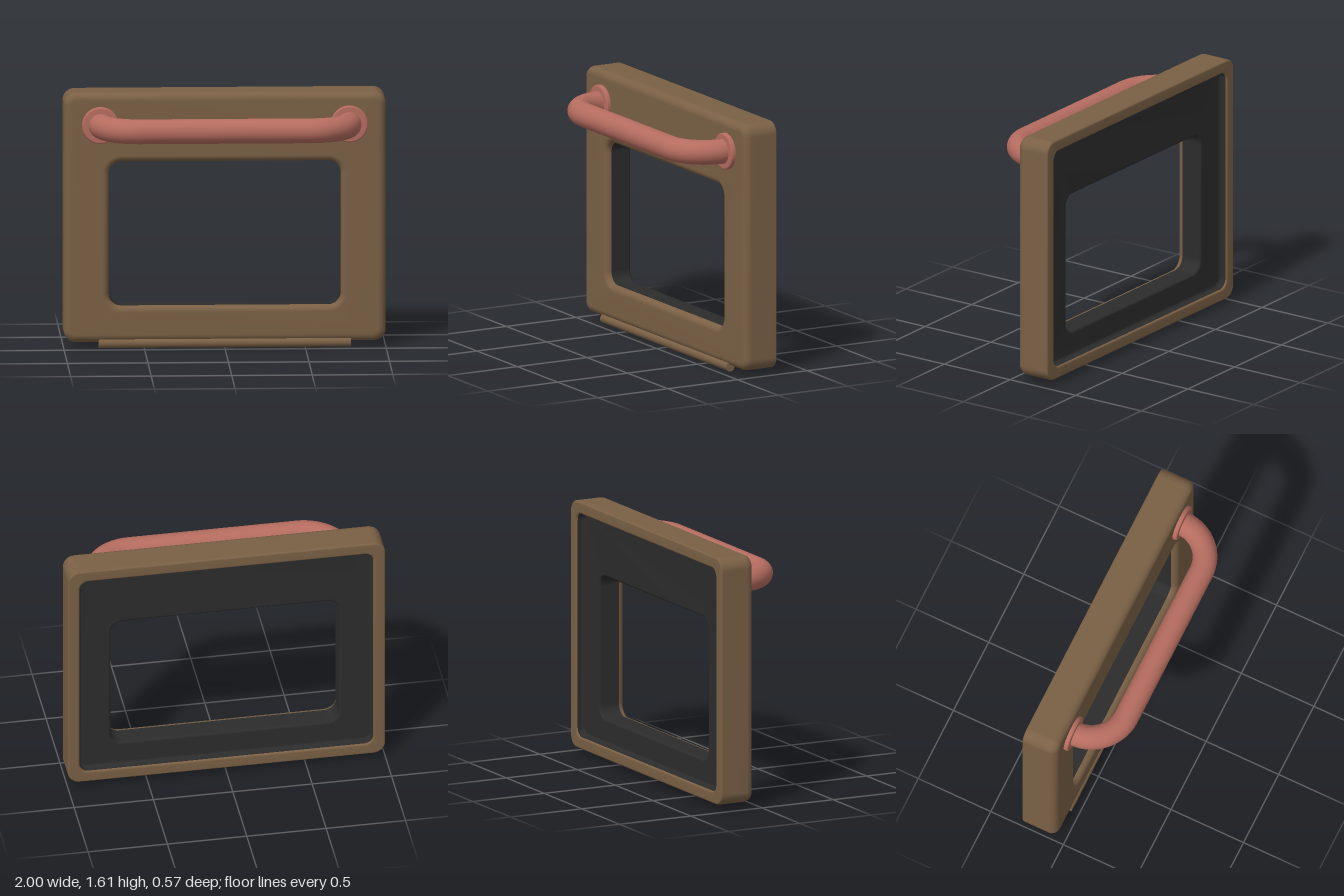
import * as THREE from 'three';

const brown = new THREE.MeshStandardMaterial({ color: 0x7a6045 });
const red = new THREE.MeshStandardMaterial({ color: 0xb56c5f });
const dark = new THREE.MeshStandardMaterial({ color: 0x2c2c2c });

const FRONT = -0.052, BACK = -0.285, RECESS = -0.23;
const outer = { w: 1, h: 0.785, r: 0.075, y: 0.82 };
const opening = { w: 0.72, h: 0.4525, r: 0.075, y: 0.7175 };
const recess = { w: 0.925, h: 0.71, r: 0.055, y: 0.82 };

// Rounded rectangle loop, grown by d, lying at depth z
function ring(s, d, z) {
  const r = Math.max(s.r + d, 0.012), cx = s.w + d - r, cy = s.h + d - r, n = 8, pts = [];
  [[1, 1], [-1, 1], [-1, -1], [1, -1]].forEach(([sx, sy], q) => {
    for (let i = 0; i <= n; i++) {
      const a = (q + i / n) * Math.PI / 2;
      pts.push([sx * cx + r * Math.cos(a), s.y + sy * cy + r * Math.sin(a), z]);
    }
  });
  return pts;
}

// Quarter-round edge: rings whose growth and depth follow an arc
function rounded(s, radius, z, signD, signZ, from, to, n = 5) {
  return Array.from({ length: n + 1 }, (_, i) => {
    const a = (from + (to - from) * i / n) * Math.PI / 2;
    return ring(s, signD * radius * (1 - Math.cos(a)), z + signZ * radius * (1 - Math.sin(a)));
  });
}

// Skin a list of rings
function loft(rings) {
  const n = rings[0].length, index = [];
  for (let k = 0; k < rings.length - 1; k++) {
    for (let i = 0; i < n; i++) {
      const a = k * n + i, b = k * n + (i + 1) % n;
      index.push(a, b, a + n, b, b + n, a + n);
    }
  }
  const g = new THREE.BufferGeometry();
  g.setAttribute('position', new THREE.Float32BufferAttribute(rings.flat(2), 3));
  g.setIndex(index);
  g.computeVertexNormals();
  return g;
}

function add(parent, name, geometry, material) {
  const mesh = new THREE.Mesh(geometry, material);
  mesh.name = name;
  parent.add(mesh);
  return mesh;
}

export function createModel() {
  const model = new THREE.Group();
  model.name = 'ovenDoor';

  // Outer shell: back rim, sides, rounded front and window lip
  add(model, 'doorFrame', loft([
    ...rounded(recess, 0.012, BACK, 1, 1, 0, 1, 3),
    ...rounded(outer, 0.012, BACK, -1, 1, 1, 0, 3),
    ...rounded(outer, 0.05, FRONT, -1, -1, 0, 1),
    ...rounded(opening, 0.04, FRONT, 1, -1, 1, 0),
  ]), brown);

  // Dark inner liner: window walls, recessed back panel, recess walls
  add(model, 'innerLiner', loft([
    ring(opening, 0, FRONT - 0.04),
    ...rounded(opening, 0.015, RECESS, 1, 1, 0, 1, 3),
    ring(recess, -0.02, RECESS),
    ring(recess, -0.012, RECESS - 0.003),
    ring(recess, -0.004, RECESS - 0.01),
    ring(recess, 0, RECESS - 0.02),
    ring(recess, 0, BACK + 0.012),
  ]), dark);

  // Bent tube handle
  const handle = new THREE.Group();
  handle.name = 'handle';
  handle.position.y = 1.405;
  model.add(handle);
  const X = 0.77, Z = 0.208, R = 0.24, k = R * 0.4477;
  const v = (x, z) => new THREE.Vector3(x, 0, z);
  const path = new THREE.CurvePath();
  path.add(new THREE.LineCurve3(v(-X, FRONT), v(-X, Z - R)));
  path.add(new THREE.CubicBezierCurve3(v(-X, Z - R), v(-X, Z - k), v(-X + k, Z), v(-X + R, Z)));
  path.add(new THREE.LineCurve3(v(-X + R, Z), v(X - R, Z)));
  path.add(new THREE.CubicBezierCurve3(v(X - R, Z), v(X - k, Z), v(X, Z - k), v(X, Z - R)));
  path.add(new THREE.LineCurve3(v(X, Z - R), v(X, FRONT)));
  add(handle, 'handleBar', new THREE.TubeGeometry(path, 120, 0.077, 32), red);

  // Round mounting flanges
  const profile = [[0.115, 0], [0.115, 0.018], [0.112, 0.025], [0.105, 0.028], [0.06, 0.028]]
    .map(([x, y]) => new THREE.Vector2(x, y));
  for (const side of [-1, 1]) {
    const flange = add(handle, side > 0 ? 'leftFlange' : 'rightFlange', new THREE.LatheGeometry(profile, 40), red);
    flange.rotation.x = Math.PI / 2;
    flange.position.set(side * 0.773, 0, FRONT);
  }

  // Hinge rod under the front edge
  const rod = add(model, 'hingeRod', new THREE.CylinderGeometry(0.03, 0.03, 1.565, 24), brown);
  rod.rotation.z = Math.PI / 2;
  rod.position.set(0, 0.03, -0.075);

  return model;
}
